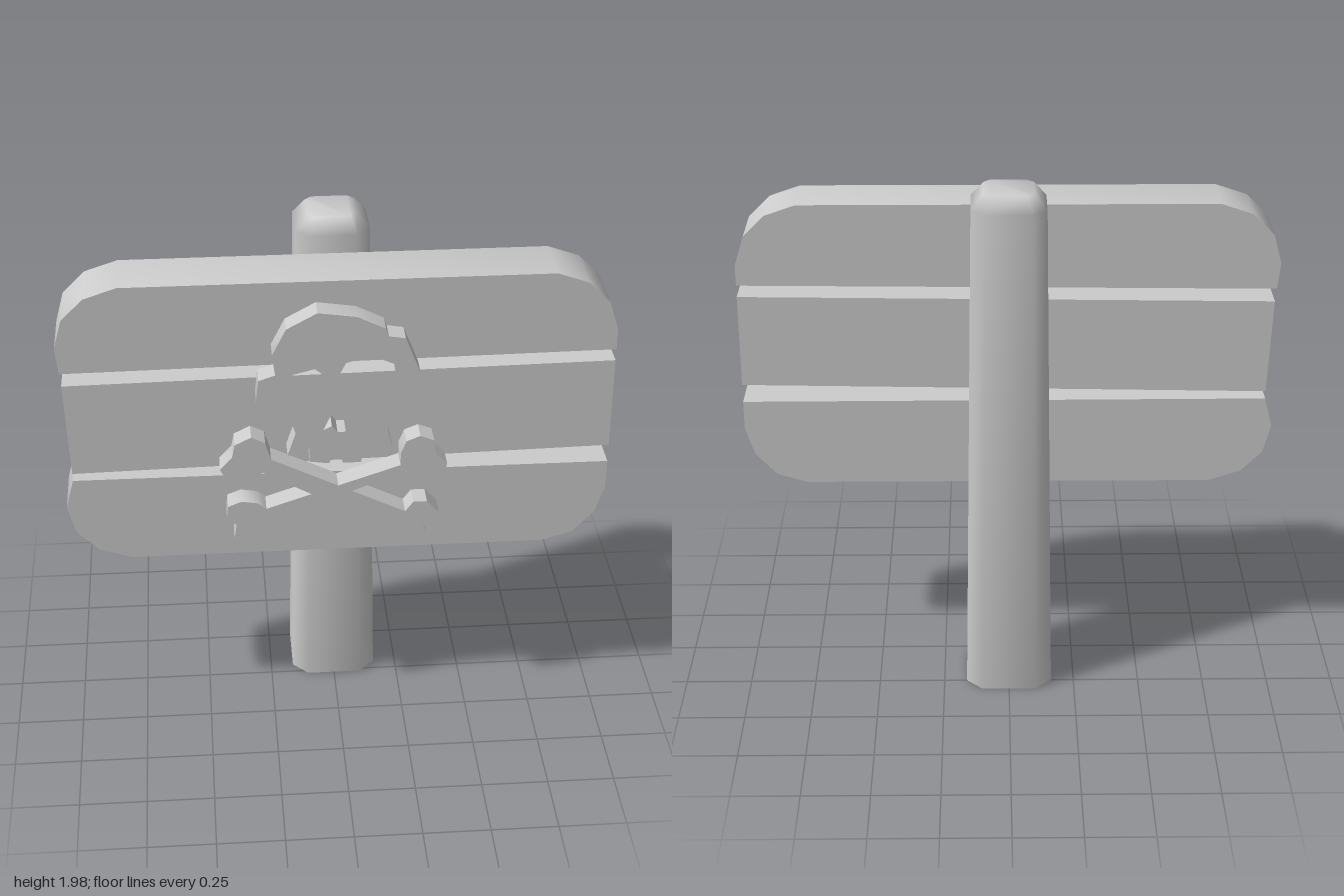
import * as THREE from 'three';
import { toCreasedNormals } from 'three/addons/utils/BufferGeometryUtils.js';

const material = new THREE.MeshStandardMaterial({ color: 0xcccccc });
const openMaterial = new THREE.MeshStandardMaterial({ color: 0xcccccc, side: THREE.DoubleSide });

// Turn a list of [x, y] in hundredths of a unit into points
const toPoints = (list) => list.map(([x, y]) => new THREE.Vector2(x / 100, y / 100));

// Flat cut-out between two depths, with optional holes
function cutOut(name, outline, z0, z1, holes = []) {
  const shape = new THREE.Shape(toPoints(outline));
  shape.holes = holes.map((hole) => new THREE.Path(toPoints(hole)));
  const geometry = new THREE.ExtrudeGeometry(shape, { depth: z1 - z0, bevelEnabled: false });
  geometry.translate(0, 0, z0);
  const mesh = new THREE.Mesh(toCreasedNormals(geometry, 0.6), material);
  mesh.name = name;
  return mesh;
}

// Tapered post with cut corners, a bevelled top and an open underside
function createPost() {
  const rings = [ // height, half width, corner cut
    [0, 0.163, 0.06], [1.92, 0.135, 0.05], [1.975, 0.09, 0.025],
  ];
  const positions = [];
  const index = [];
  for (const [y, h, c] of rings) {
    const k = h - c;
    const ring = [[k, h], [h, k], [h, -k], [k, -h], [-k, -h], [-h, -k], [-h, k], [-k, h]];
    for (const [x, z] of ring) positions.push(x, y, z);
  }
  for (let r = 0; r < rings.length - 1; r++) {
    for (let i = 0; i < 8; i++) {
      const a = r * 8 + i;
      const b = r * 8 + ((i + 1) % 8);
      index.push(a, b, b + 8, a, b + 8, a + 8);
    }
  }
  const top = (rings.length - 1) * 8;
  for (let i = 1; i < 7; i++) index.push(top, top + i, top + i + 1);
  const geometry = new THREE.BufferGeometry();
  geometry.setAttribute('position', new THREE.Float32BufferAttribute(positions, 3));
  geometry.setIndex(index);
  geometry.computeVertexNormals();
  const mesh = new THREE.Mesh(geometry, openMaterial);
  mesh.name = 'post';
  mesh.position.z = -0.147;
  return mesh;
}

export function createModel() {
  const group = new THREE.Group();
  group.name = 'signpost';
  group.add(createPost());

  // Three boards, the outer two with rounded outer corners
  const boards = {
    topBoard: [[-99, 153], [100, 155], [100, 163], [96.5, 174], [88.5, 182], [77, 186],
      [-77, 186], [-89, 182], [-97, 174], [-100, 163]],
    middleBoard: [[-97, 111.5], [100, 115], [100, 150.5], [-98.5, 148]],
    bottomBoard: [[-97, 108.5], [-100, 97], [-97, 86], [-89, 78], [-77, 74],
      [77, 74], [88.5, 77.5], [96.5, 86], [100, 97], [100, 108]],
  };
  for (const [name, outline] of Object.entries(boards)) group.add(cutOut(name, outline, 0.003, 0.225));

  // Skull with eye and nose openings
  const skull = [
    [-8, 178], [6, 176], [16, 171], [17, 168], [23, 167], [28.5, 153], [28, 144], [25, 137],
    [21, 134], [17, 131], [19, 122], [10, 120], [9, 124], [7.5, 117], [1, 117], [-1, 124],
    [-4, 117], [-11, 118], [-11, 124], [-13, 120], [-19, 121], [-16, 130], [-18, 136],
    [-23, 136], [-27, 134], [-30, 143], [-29, 152], [-23, 154], [-24, 162], [-19, 172],
  ];
  const openings = [
    [[-20, 149], [-17, 154], [-9, 156], [-4, 152], [-4, 143], [-9, 139], [-17, 140]],
    [[-1, 152], [2, 158], [11, 160.5], [19, 157], [20.5, 148], [13, 139], [3, 138], [-1, 145]],
    [[-2, 140], [-6, 131], [-3, 132.5], [-1, 130], [2, 130], [1, 137]],
  ];
  group.add(cutOut('skull', skull, 0.223, 0.31, openings));

  // Crossed bones, each with a pair of knobs at both ends
  const bones = {
    risingBone: [
      [22, 115], [22, 120], [24, 125], [29, 127], [34, 125], [35, 119], [39, 115], [38, 109],
      [32, 107], [27, 108], [24, 112.5], [-25.5, 93], [-26, 86], [-30, 82], [-36, 82],
      [-39, 86], [-38, 92], [-41.5, 95], [-41, 100], [-36, 102], [-30, 101], [-27, 98.5],
    ],
    fallingBone: [
      [-39, 121], [-38, 126], [-32, 129], [-27, 126.5], [-25, 119.5], [24, 95], [27, 99],
      [32, 99], [36.5, 94], [35, 90], [31, 88.5], [32, 84], [25, 81], [19, 82], [18, 88],
      [-28, 114], [-34, 109.5], [-41, 111], [-43.5, 116],
    ],
  };
  for (const [name, outline] of Object.entries(bones)) group.add(cutOut(name, outline, 0.223, 0.31));

  return group;
}
